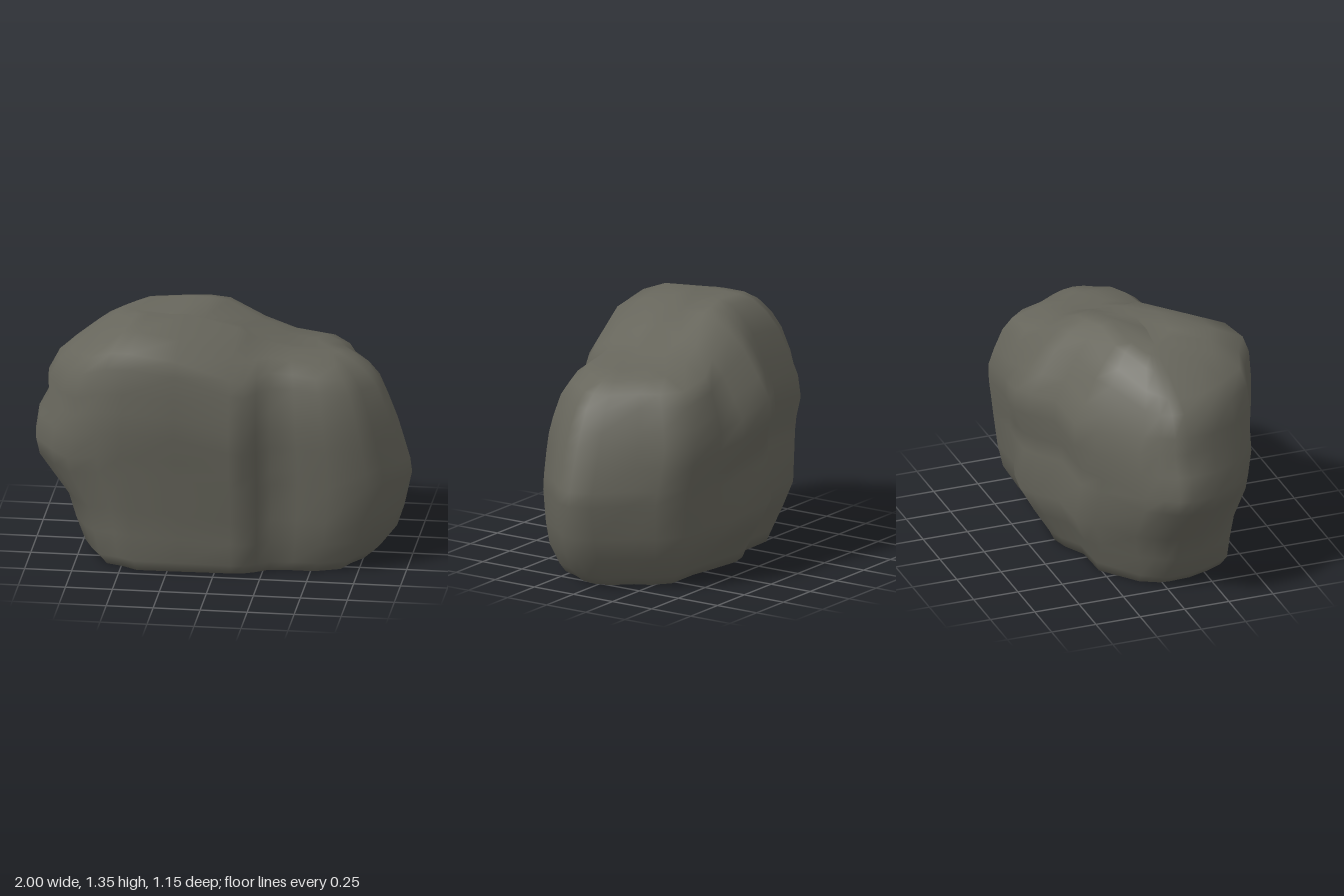
import * as THREE from 'three';

const { lerp, smoothstep } = THREE.MathUtils;

// Widest plan outline (x, z), running from +x round by the front
const OUTLINE = [
  [1, 0.03], [0.97, 0.12], [0.87, 0.22], [0.8, 0.33], [0.6, 0.39], [0.44, 0.39], [0.3, 0.41],
  [0.23, 0.48], [0.16, 0.54], [0.09, 0.56], [-0.2, 0.57], [-0.49, 0.575], [-0.62, 0.51],
  [-0.78, 0.47], [-0.88, 0.35], [-0.98, 0.2], [-1, 0.05], [-0.98, -0.02], [-0.92, -0.09],
  [-0.85, -0.18], [-0.6, -0.35], [-0.5, -0.43], [-0.23, -0.44], [-0.1, -0.54], [0, -0.58],
  [0.2, -0.54], [0.36, -0.5], [0.62, -0.5], [0.75, -0.38], [0.81, -0.25], [0.96, -0.09],
];

// Height fraction, then reach: -x, +x, back z, front z, back z and front z of the lower +x end
const LEVELS = [
  [0, 0.67, 0.77, 0.61, 0.77, 0.62, 0.87],
  [0.045, 0.73, 0.83, 0.66, 0.82, 0.7, 0.91],
  [0.15, 0.78, 0.92, 0.81, 0.83, 0.84, 0.98],
  [0.26, 0.82, 0.96, 0.95, 0.86, 0.89, 1],
  [0.43, 0.98, 1, 0.91, 0.92, 0.93, 1],
  [0.5, 1, 0.99, 0.91, 0.94, 0.95, 1],
  [0.61, 0.98, 0.955, 1, 0.99, 0.99, 1],
  [0.7, 0.925, 0.925, 0.98, 1, 1, 0.99],
  [0.78, 0.93, 0.89, 0.86, 1, 0.95, 0.95],
  [0.88, 0.87, 0.84, 0.71, 0.99, 0.87, 0.87],
  [0.94, 0.8, 0.78, 0.56, 0.94, 0.78, 0.77],
  [0.985, 0.68, 0.7, 0.4, 0.66, 0.5, 0.6],
  [1, 0.57, 0.62, 0.24, 0.27, 0.22, 0.25],
];

// Skyline of the rock along x
const SKYLINE = [
  [-1, 1.25], [-0.87, 1.23], [-0.8, 1.21], [-0.68, 1.25], [-0.56, 1.3], [-0.42, 1.335],
  [-0.18, 1.355], [0.04, 1.32], [0.17, 1.24], [0.3, 1.17], [0.55, 1.13], [0.74, 1.11], [1, 1.1],
];

// Shallow valley along the crown, where both sides meet
const CROWN = [
  [-0.48, 1.31, 0.03], [-0.28, 1.305, 0.06], [-0.1, 1.295, 0.06],
  [0.1, 1.26, 0.06], [0.35, 1.155, 0.03], [0.56, 1.13, 0],
];

function heightAt(x, z) {
  const i = Math.max(1, SKYLINE.findIndex(([sx]) => x <= sx));
  const [x0, y0] = SKYLINE[i - 1], [x1, y1] = SKYLINE[i];
  // the middle of the front shoulder hangs lower
  const droop = smoothstep(x, -0.4, 0) * (1 - smoothstep(x, 0.1, 0.35)) * smoothstep(z, 0.05, 0.5);
  return lerp(y0, y1, (x - x0) / (x1 - x0)) - 0.12 * droop;
}

function nearestCrownPoint(x) {
  let best = 0;
  CROWN.forEach((p, i) => {
    if (Math.abs(p[0] - x) < Math.abs(CROWN[best][0] - x)) best = i;
  });
  return best;
}

function rockGeometry() {
  const positions = [], indices = [], n = OUTLINE.length;
  for (const [t, left, right, back, front, endBack, endFront] of LEVELS) {
    for (const [px, pz] of OUTLINE) {
      // pull in the tips more than the middle
      const x = px * (1 - (1 - (px < 0 ? left : right)) * Math.abs(px));
      // pass from the tall -x mass to the lower +x end
      const z = pz * (pz < 0
        ? lerp(back, endBack, smoothstep(px, 0.1, 0.4))
        : lerp(front, endFront, smoothstep(px, 0.1 - 0.35 * t, 0.38)));
      positions.push(x, t * heightAt(x, z), z);
    }
  }
  // sides
  for (let i = 0; i < LEVELS.length - 1; i++) {
    for (let j = 0; j < n; j++) {
      const a = i * n + j, b = i * n + (j + 1) % n;
      indices.push(a, a + n, b, b, a + n, b + n);
    }
  }
  // crown: join the top ring to the valley line
  const top = (LEVELS.length - 1) * n, crown = top + n;
  positions.push(...CROWN.flat());
  for (let j = 0; j < n; j++) {
    const a = top + j, b = top + (j + 1) % n;
    const c = crown + nearestCrownPoint(positions[a * 3]);
    const d = crown + nearestCrownPoint(positions[b * 3]);
    indices.push(a, c, b);
    if (c !== d) indices.push(b, c, d);
  }
  // flat underside, sharing the rim so its edge stays soft
  const centre = positions.length / 3;
  positions.push(0, 0, 0);
  for (let j = 0; j < n; j++) indices.push(centre, j, (j + 1) % n);

  const geometry = new THREE.BufferGeometry();
  geometry.setAttribute('position', new THREE.Float32BufferAttribute(positions, 3));
  geometry.setIndex(indices);
  geometry.computeVertexNormals();
  return geometry;
}

export function createModel() {
  const stone = new THREE.MeshStandardMaterial({ color: 0x67665c });
  stone.name = 'stone';
  const boulder = new THREE.Mesh(rockGeometry(), stone);
  boulder.name = 'boulder';
  const group = new THREE.Group();
  group.name = 'rock';
  group.add(boulder);
  return group;
}
